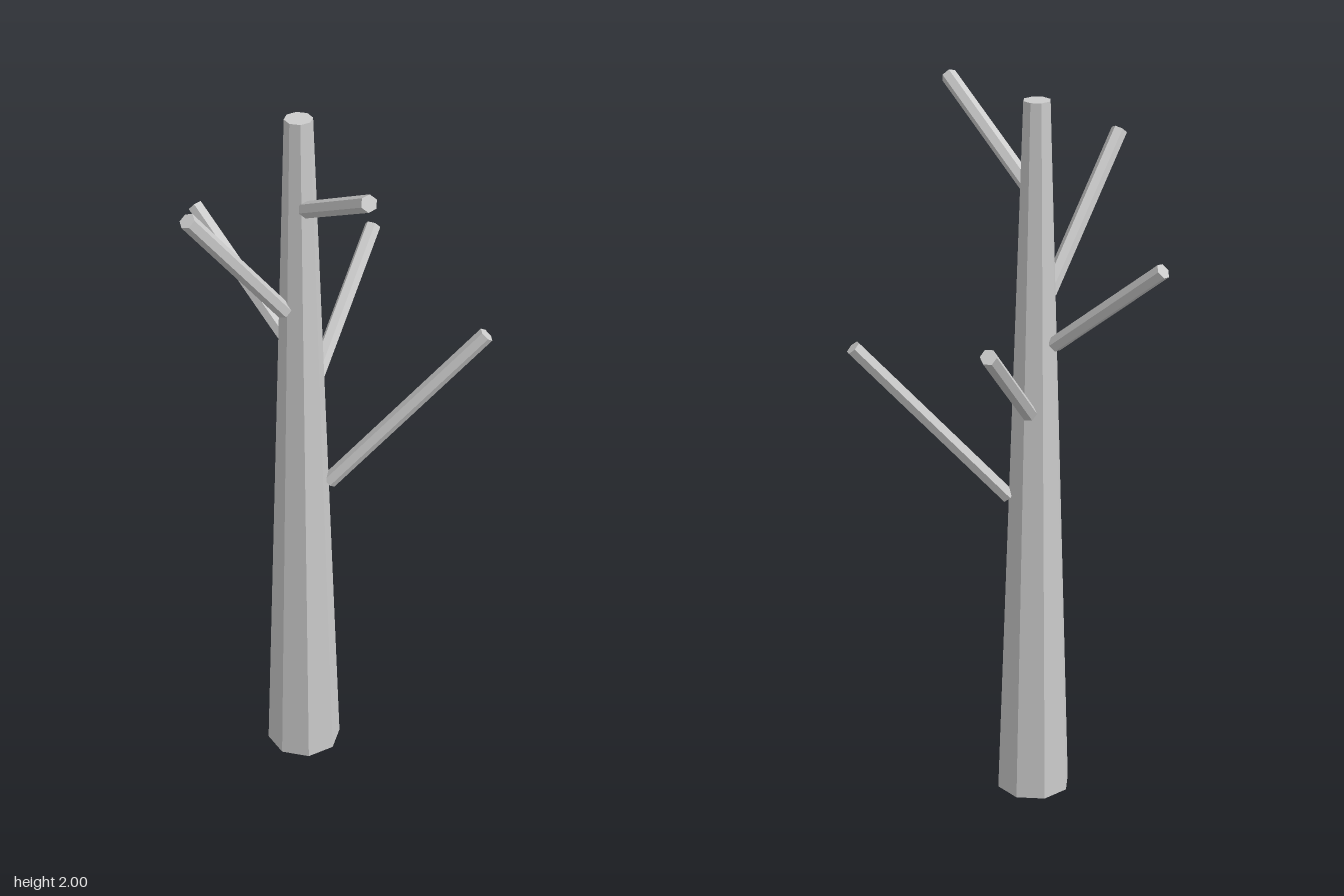
import * as THREE from 'three';

const HEIGHT = 2, BASE_R = 0.105, TOP_R = 0.037, BRANCH_R = 0.022;
const CENTRE = new THREE.Vector3(-0.093, 0, -0.012);

export function createModel() {
  const tree = new THREE.Group();
  tree.name = 'bareTree';
  const bark = new THREE.MeshStandardMaterial({ color: 0xcccccc, flatShading: true });

  // Tapered eight-sided trunk
  const trunk = new THREE.Mesh(new THREE.CylinderGeometry(TOP_R, BASE_R, HEIGHT, 8), bark);
  trunk.name = 'trunk';
  trunk.position.set(CENTRE.x, HEIGHT / 2, CENTRE.z);
  tree.add(trunk);

  // Straight six-sided branches, each leaving the trunk surface radially: [root height, tip]
  const up = new THREE.Vector3(0, 1, 0);
  const branches = [
    [0.9, [0.395, 1.36, 0.041]],
    [1.16, [0.16, 1.463, -0.403]],
    [1.345, [-0.334, 1.61, -0.314]],
    [1.465, [-0.395, 1.845, 0.192]],
    [1.765, [0.021, 1.975, 0.403]],
  ];
  branches.forEach(([y, end], i) => {
    const tip = new THREE.Vector3(...end);
    const trunkR = THREE.MathUtils.lerp(BASE_R, TOP_R, y / HEIGHT);
    const root = tip.clone().sub(CENTRE).setY(0).setLength(trunkR).add(CENTRE).setY(y);
    const along = tip.clone().sub(root);
    const geometry = new THREE.CylinderGeometry(BRANCH_R, BRANCH_R, along.length(), 6);
    const branch = new THREE.Mesh(geometry, bark);
    branch.name = `branch${i + 1}`;
    branch.position.copy(root).lerp(tip, 0.5);
    branch.quaternion.setFromUnitVectors(up, along.normalize());
    tree.add(branch);
  });

  return tree;
}
